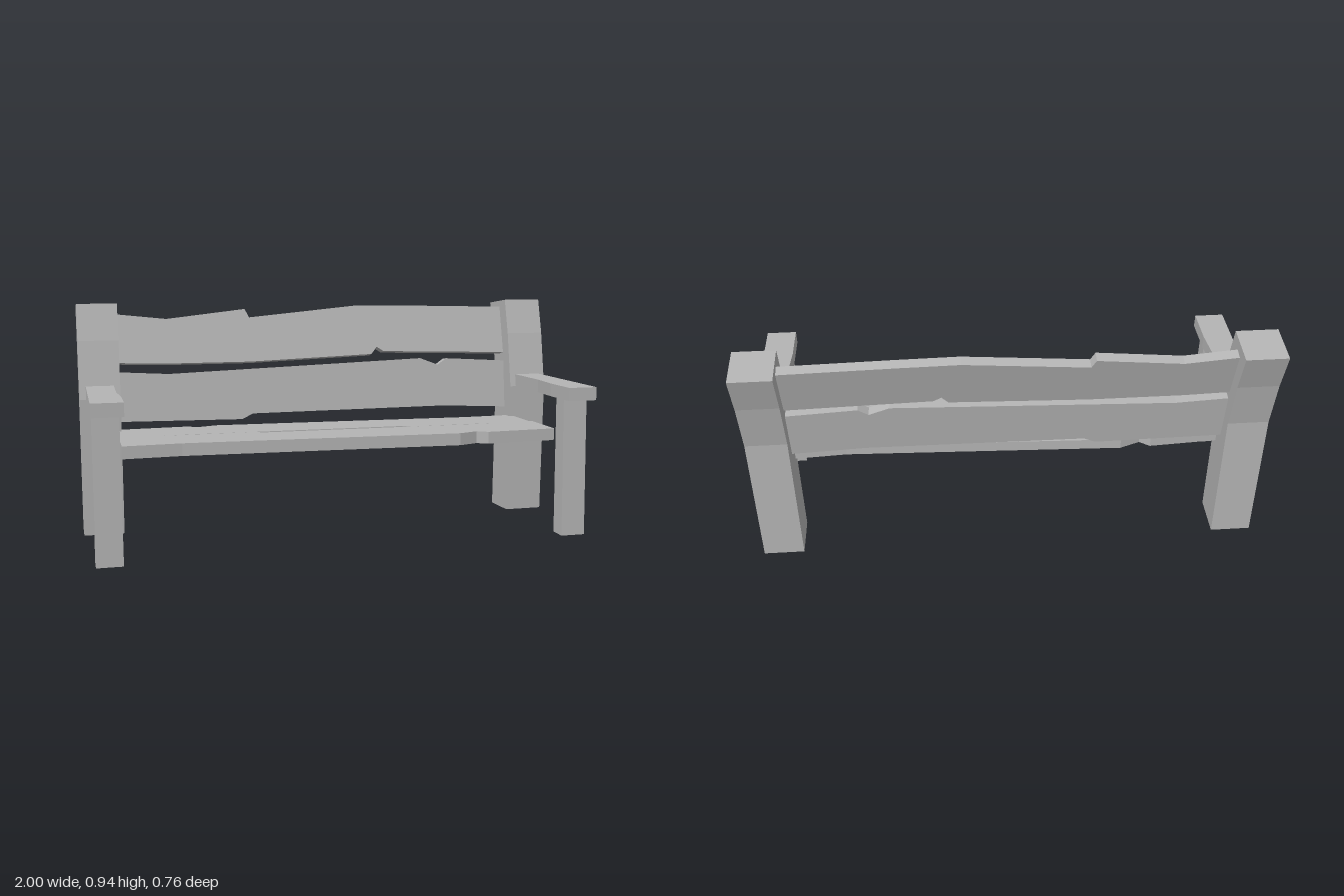
import * as THREE from 'three';

const stone = new THREE.MeshStandardMaterial({ color: 0xb4b4b4 });
stone.name = 'plain grey';

// Extrudes an outline into a board centred on its own thickness
function board(points, depth) {
  const shape = new THREE.Shape(points.map(([x, y]) => new THREE.Vector2(x, y)));
  const geometry = new THREE.ExtrudeGeometry(shape, { depth, bevelEnabled: false });
  return geometry.translate(0, 0, -depth / 2);
}

// Worn plank with a notch in one long edge and a step in the other
const notchedPlank = [
  [-0.862, 0.455], [-0.34, 0.448], [-0.295, 0.47], [0.55, 0.475], [0.862, 0.46],
  [0.862, 0.663], [0.57, 0.68], [0.53, 0.653], [0.45, 0.683], [-0.64, 0.643], [-0.862, 0.656],
];

// Worn plank with a sawtooth step on top and a nick below
const steppedPlank = [
  [-0.862, 0.69], [-0.66, 0.683], [-0.3, 0.683], [0.23, 0.703], [0.255, 0.733], [0.285, 0.714],
  [0.862, 0.698], [0.862, 0.897], [0.4, 0.907], [0.18, 0.91], [-0.295, 0.865], [-0.312, 0.9],
  [-0.64, 0.863], [-0.862, 0.886],
];

// Side profiles as [z, y]
const postProfile = [
  [-0.146, 0.005], [-0.308, 0], [-0.298, 0.56], [-0.335, 0.76],
  [-0.381, 0.917], [-0.218, 0.935], [-0.178, 0.79], [-0.135, 0.56],
];
const legProfile = [[0.33, 0.003], [0.258, 0.003], [0.247, 0.56], [0.312, 0.56]];

// Armrest outline as [x, z]
const armOutline = [
  [0.865, -0.16], [0.975, -0.16], [0.975, 0.383], [0.857, 0.383], [0.857, 0.22], [0.868, 0.08],
];

export function createModel() {
  const bench = new THREE.Group();
  bench.name = 'bench';

  function add(name, geometry) {
    const mesh = new THREE.Mesh(geometry, stone);
    mesh.name = name;
    bench.add(mesh);
    return mesh;
  }

  // Posts, front legs and armrests on both sides
  for (const [side, s] of [['left', 1], ['right', -1]]) {
    add(side + 'BackPost', board(postProfile, 0.16).rotateY(-Math.PI / 2).translate(s * 0.92, 0, 0));
    add(side + 'FrontLeg', board(legProfile, 0.1).rotateY(-Math.PI / 2).translate(s * 0.921, 0, 0));
    const outline = armOutline.map(([x, z]) => [s * x, z]);
    add(side + 'Armrest', board(outline, 0.052).rotateX(Math.PI / 2).translate(0, 0.586, 0));
  }

  // Seat planks, the rear one turned end for end
  const frontSeat = notchedPlank.map(([x, y]) => [x, y - 0.41]);
  add('frontSeatPlank', board(frontSeat, 0.048).rotateX(Math.PI / 2).translate(0, 0.408, 0));
  const rearSeat = notchedPlank.map(([x, y]) => [-x, 0.48 - y]);
  add('rearSeatPlank', board(rearSeat, 0.044).rotateX(Math.PI / 2).translate(0, 0.405, 0));

  // Back slats, each leaning with the posts about its middle height
  function backSlat(name, plank, middle, z, lean) {
    const outline = plank.map(([x, y]) => [x, (y - middle) / Math.cos(lean)]);
    add(name, board(outline, 0.04).rotateX(-lean).translate(0, middle, z));
  }
  backSlat('lowerBackSlat', notchedPlank, 0.567, -0.227, 0.12);
  backSlat('upperBackSlat', steppedPlank, 0.795, -0.268, 0.25);

  return bench;
}
